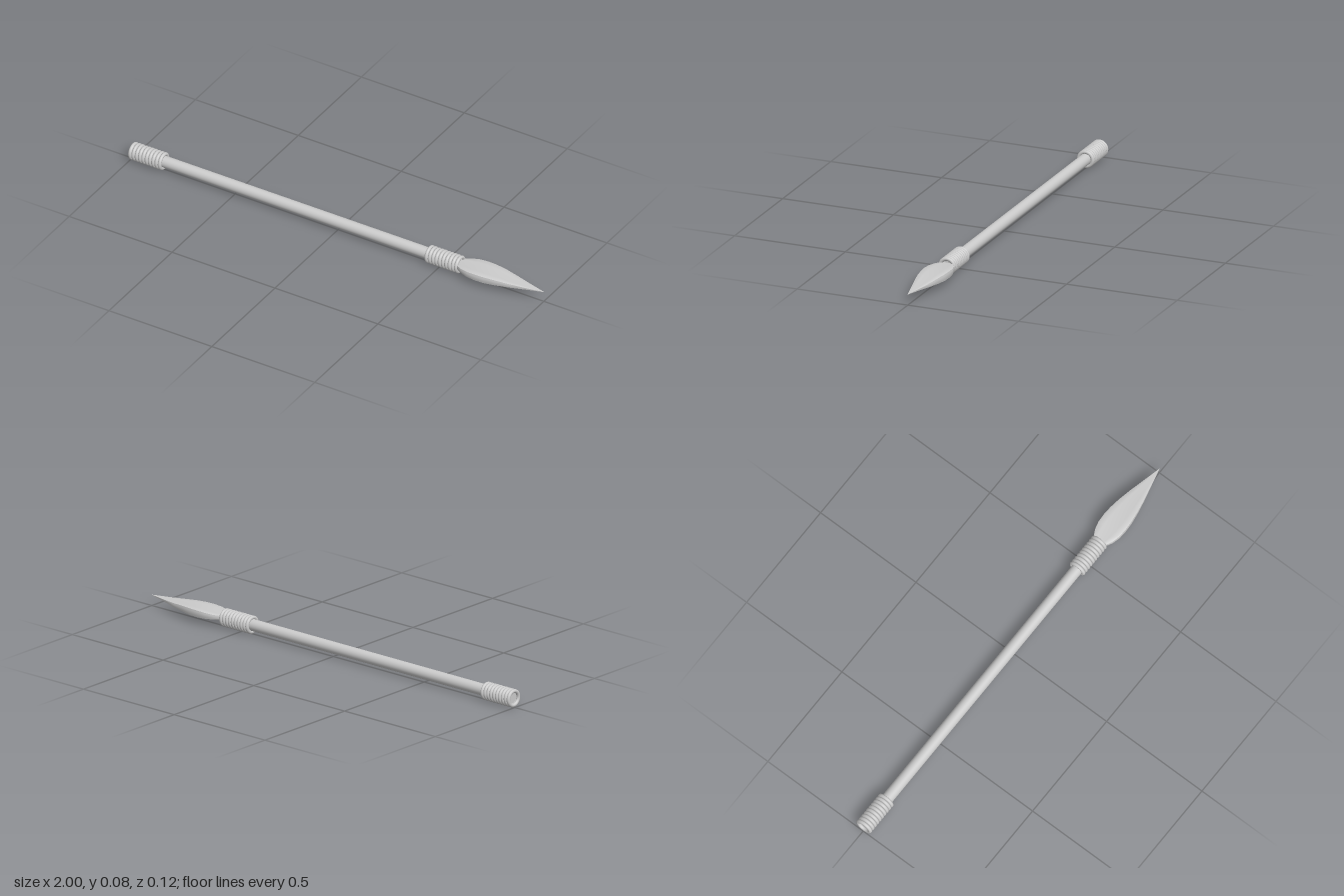
import * as THREE from 'three';
import { toCreasedNormals } from 'three/addons/utils/BufferGeometryUtils.js';

const AXIS_Y = 0.04;
const material = new THREE.MeshStandardMaterial({ color: 0xcccccc });

function addMesh(parent, name, geometry) {
  const mesh = new THREE.Mesh(geometry, material);
  mesh.name = name;
  parent.add(mesh);
  return mesh;
}

// A row of touching rings wound around the shaft, starting at x = start
function binding(name, start) {
  const group = new THREE.Group();
  group.name = name;
  const count = 10, tube = 0.008;
  const ring = new THREE.TorusGeometry(0.031, tube, 12, 32).rotateY(Math.PI / 2);
  for (let i = 0; i < count; i++) {
    addMesh(group, 'bindingRing', ring).position.set(start + tube * (2 * i + 1), AXIS_Y, 0);
  }
  return group;
}

// Leaf-shaped blade lofted from thick, round-edged sections along x
function bladeGeometry() {
  // x, centre y, half width, half thickness
  const stations = [
    [0.585, 0.045, 0.022, 0.008], [0.6, 0.045, 0.034, 0.010], [0.625, 0.045, 0.047, 0.012],
    [0.66, 0.045, 0.056, 0.015], [0.7, 0.045, 0.058, 0.017], [0.74, 0.045, 0.056, 0.017],
    [0.79, 0.046, 0.049, 0.0145], [0.85, 0.046, 0.037, 0.010], [0.92, 0.047, 0.020, 0.005],
    [1.0, 0.048, 0.0006, 0.0005],
  ];
  // Section as [y, z] factors, slightly hollow along the middle
  const section = [
    [0.88, 0], [0.95, 0.5], [1, 0.88], [0.85, 0.97], [0.5, 1], [-0.5, 1], [-0.85, 0.97], [-1, 0.88], [-0.95, 0.5],
    [-0.88, 0], [-0.95, -0.5], [-1, -0.88], [-0.85, -0.97], [-0.5, -1], [0.5, -1], [0.85, -0.97], [1, -0.88], [0.95, -0.5],
  ];
  const n = section.length, positions = [], index = [];
  for (const [x, y, w, t] of stations) {
    for (const [v, u] of section) positions.push(x, y + v * t, u * w);
  }
  for (let i = 0; i < stations.length - 1; i++) {
    for (let j = 0; j < n; j++) {
      const a = i * n + j, b = i * n + (j + 1) % n;
      index.push(a, b, b + n, a, b + n, a + n);
    }
  }
  // Close the base and the tip
  const last = (stations.length - 1) * n;
  for (let j = 1; j < n - 1; j++) {
    index.push(0, j + 1, j, last, last + j, last + j + 1);
  }
  const geometry = new THREE.BufferGeometry();
  geometry.setAttribute('position', new THREE.Float32BufferAttribute(positions, 3));
  geometry.setIndex(index);
  return toCreasedNormals(geometry, Math.PI / 5);
}

export function createModel() {
  const spear = new THREE.Group();
  spear.name = 'spear';

  // Shaft, its ends set back slightly inside the bindings
  const shaft = addMesh(spear, 'shaft',
    new THREE.CylinderGeometry(0.025, 0.025, 1.57, 32).rotateZ(Math.PI / 2));
  shaft.position.set(-0.2, AXIS_Y, 0);

  spear.add(binding('buttBinding', -1), binding('headBinding', 0.44));
  addMesh(spear, 'blade', bladeGeometry());
  return spear;
}
